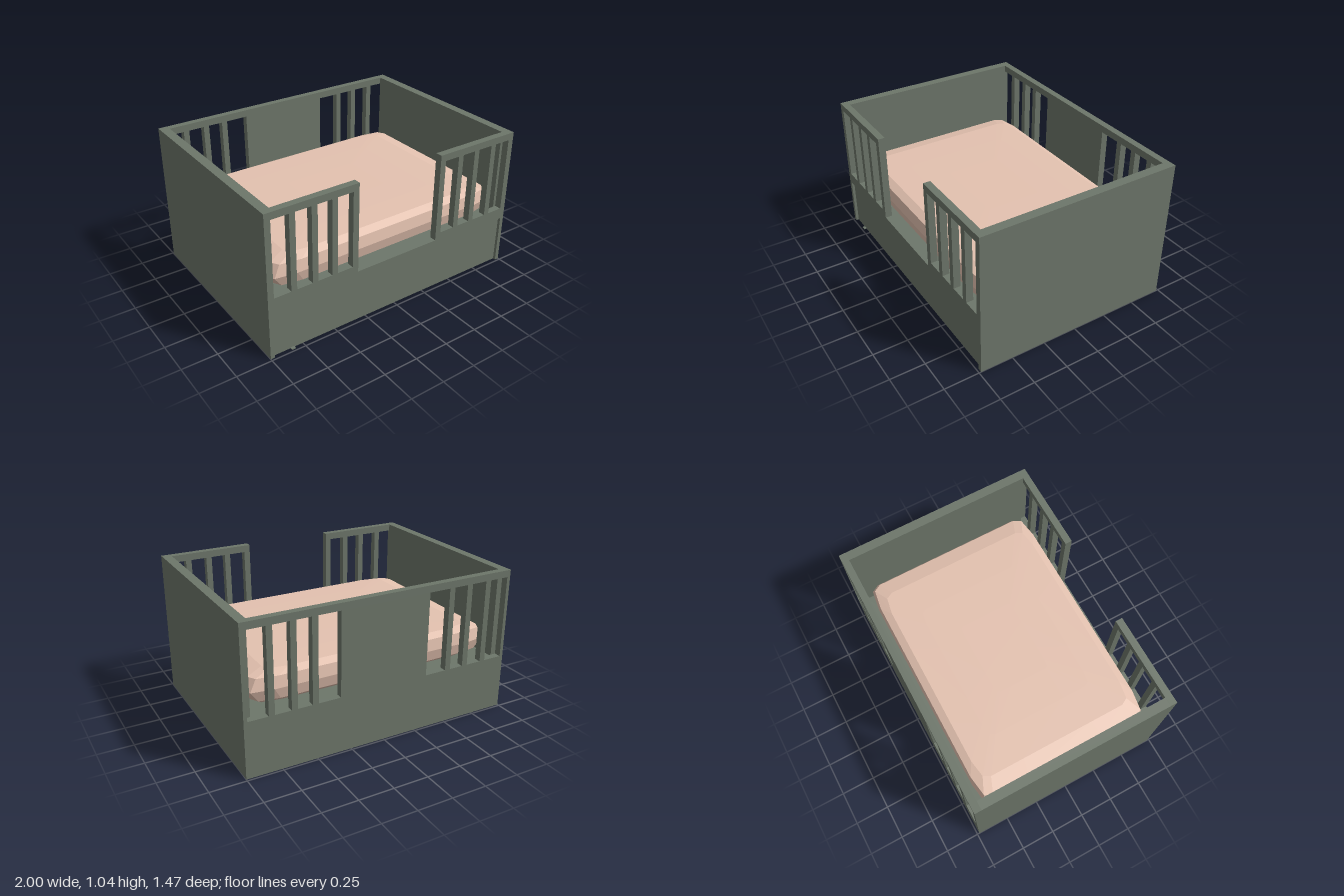
import * as THREE from 'three';

const GREEN = new THREE.MeshStandardMaterial({ color: 0x6d766a });
const LINEN = new THREE.MeshStandardMaterial({ color: 0xe4c2b0, flatShading: true, side: THREE.DoubleSide });

const HX = 1, HZ = 0.735, TOP = 1.045;      // half width, half depth, height
const PANEL = 0.05, SIDE = 0.065;           // front/back and side thickness
const SKIRT = 0.02, BASE = 0.375;           // thin lower walls and their height
const HEAD = 0.995;                         // window top
const SLATS = [0.511, 0.657, 0.813];        // slat centres on each half

function box(name, x0, x1, y0, y1, z0, z1) {
  const mesh = new THREE.Mesh(new THREE.BoxGeometry(x1 - x0, y1 - y0, z1 - z0), GREEN);
  mesh.position.set((x0 + x1) / 2, (y0 + y1) / 2, (z0 + z1) / 2);
  mesh.name = name;
  return mesh;
}

// Upright panel with barred windows in both halves
function slattedPanel(name, outline, innerEdge, outerEdge, sill, z) {
  const shape = new THREE.Shape(outline.map(([x, y]) => new THREE.Vector2(x, y)));
  const edges = [innerEdge];
  SLATS.forEach((c) => edges.push(c - 0.021, c + 0.021));
  edges.push(outerEdge);
  for (const s of [-1, 1]) {
    for (let i = 0; i < edges.length; i += 2) {
      const a = s * edges[i], b = s * edges[i + 1];
      shape.holes.push(new THREE.Path([[a, sill], [b, sill], [b, HEAD], [a, HEAD]]
        .map(([x, y]) => new THREE.Vector2(x, y))));
    }
  }
  const mesh = new THREE.Mesh(new THREE.ExtrudeGeometry(shape, { depth: PANEL, bevelEnabled: false }), GREEN);
  mesh.position.z = z;
  mesh.name = name;
  return mesh;
}

// Mattress: stacked outlines with cut corners, closed by a cap at each end
function mattress() {
  const W = 0.933, D = 0.657, midZ = 0.017;
  // height, inset in x, inset in z
  const levels = [
    [0.402, 0.10, 0.07], [0.44, 0.06, 0.02], [0.52, 0, 0], [0.602, 0.045, 0.012],
    [0.629, 0.16, 0.065], [0.634, 0.4, 0.25], [0.636, 0.65, 0.45],
  ];
  const ring = (w, d) => {
    const corner = [[w, d * 0.45], [w, d * 0.88], [w * 0.965, d * 0.965], [w * 0.8, d], [w * 0.4, d]];
    const back = corner.slice().reverse();
    return [
      ...corner,
      ...back.map(([x, z]) => [-x, z]),
      ...corner.map(([x, z]) => [-x, -z]),
      ...back.map(([x, z]) => [x, -z]),
    ];
  };
  const pos = [], idx = [];
  for (const [y, ix, iz] of levels) {
    for (const [x, z] of ring(W - ix, D - iz)) pos.push(x, y, z + midZ);
  }
  const n = 20, last = levels.length - 1;
  for (let l = 0; l < last; l++) {
    for (let i = 0; i < n; i++) {
      const a = l * n + i, b = l * n + (i + 1) % n;
      idx.push(a, a + n, b, b, a + n, b + n);
    }
  }
  const low = pos.length / 3;
  pos.push(0, levels[0][0], midZ, 0, levels[last][0], midZ);
  for (let i = 0; i < n; i++) {
    const j = (i + 1) % n;
    idx.push(low, i, j, low + 1, last * n + j, last * n + i);
  }
  const geo = new THREE.BufferGeometry();
  geo.setAttribute('position', new THREE.Float32BufferAttribute(pos, 3));
  geo.setIndex(idx);
  geo.computeVertexNormals();
  const mesh = new THREE.Mesh(geo, LINEN);
  mesh.name = 'mattress';
  return mesh;
}

export function createModel() {
  const bed = new THREE.Group();
  bed.name = 'bed';
  const zi = HZ - PANEL;

  // Front guard: legs, apron, low entry in the middle
  const half = [[0.97, 0], [HX, 0], [HX, TOP], [0.33, TOP], [0.33, 0.4]];
  const mirrored = half.map(([x, y]) => [-x, y]).reverse();
  const front = [...half, ...mirrored, [-0.97, 0.365], [0.97, 0.365]];
  bed.add(slattedPanel('frontGuard', front, 0.374, 0.957, 0.45, zi));

  // Back guard: solid centre, deeper windows, thin skirt below
  const back = [[-HX, BASE], [HX, BASE], [HX, TOP], [-HX, TOP]];
  bed.add(slattedPanel('backGuard', back, 0.33, 0.975, 0.4, -HZ));
  bed.add(box('backSkirt', -HX, HX, 0, BASE, -HZ, -HZ + SKIRT));

  // Solid ends, thin below the mattress base
  for (const [name, s] of [['left', 1], ['right', -1]]) {
    const span = (t) => [s * HX, s * (HX - t)].sort((a, b) => a - b);
    bed.add(box(name + 'End', ...span(SIDE), BASE, TOP, -zi, zi));
    bed.add(box(name + 'Skirt', ...span(SKIRT), 0, BASE, -HZ + SKIRT, zi));
  }

  // Mattress base, recessed drawer front and floor runner
  bed.add(box('mattressBase', -HX + SIDE, HX - SIDE, BASE, 0.39, -zi, zi));
  bed.add(box('drawerFront', -0.97, 0.97, 0, 0.365, 0.7, HZ - 0.02));
  bed.add(box('floorRunner', -0.845, -0.815, 0, 0.006, -HZ + SKIRT, HZ));

  bed.add(mattress());
  return bed;
}
